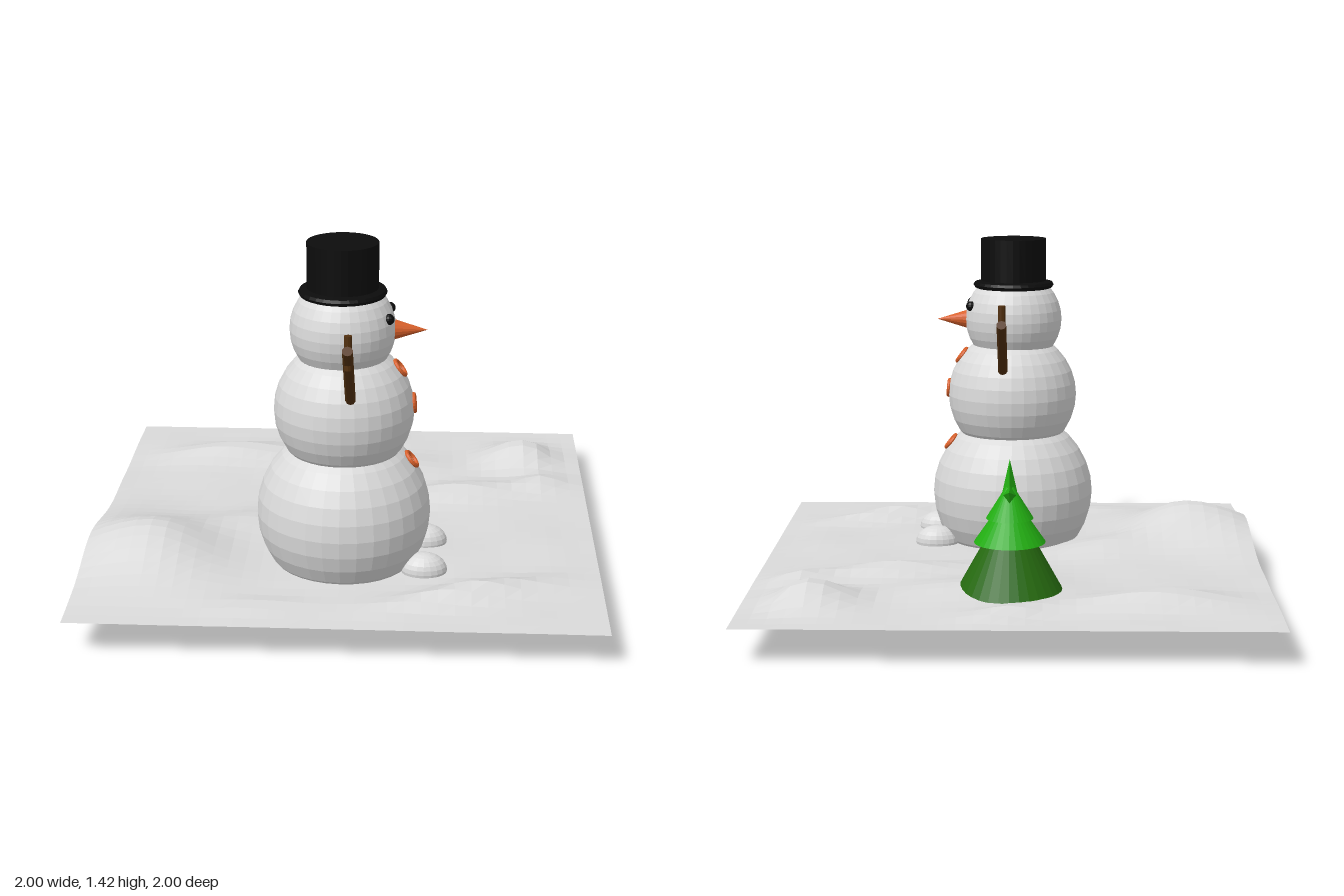
import * as THREE from 'three';

const mat = (name, color, extra = {}) =>
  Object.assign(new THREE.MeshStandardMaterial({ color, flatShading: true, ...extra }), { name });

export function createModel() {
  const model = new THREE.Group();
  model.name = 'snowmanScene';
  const snow = mat('snow', 0xdadada);
  const ground = mat('groundSnow', 0xdadada, { side: THREE.DoubleSide });
  const black = mat('black', 0x0c0c0c);
  const orange = mat('orange', 0xd8602a);
  const wood = mat('wood', 0x52300f);
  const darkGreen = mat('darkGreen', 0x266a10);
  const green = mat('green', 0x22ae12);

  const add = (name, geometry, material, x = 0, y = 0, z = 0, parent = model) => {
    const mesh = new THREE.Mesh(geometry, material);
    mesh.name = name;
    mesh.position.set(x, y, z);
    parent.add(mesh);
    return mesh;
  };

  // Snowy ground: low sheet raised by elongated drifts [x, z, rx, rz, height, angle]
  const drifts = [
    [-0.75, 0.42, 0.26, 0.27, 0.135, 0],
    [-0.98, 0.3, 0.15, 0.25, 0.03, 0],
    [-0.4, 0.12, 0.22, 0.13, 0.04, 0.4],
    [-0.55, -0.66, 0.26, 0.1, 0.06, 0.15],
    [0.0, -0.82, 0.2, 0.07, 0.035, 0.5],
    [0.1, -0.5, 0.3, 0.16, 0.04, 0.2],
    [0.45, -0.25, 0.3, 0.09, 0.05, 0.25],
    [0.74, -0.66, 0.16, 0.14, 0.085, 0],
    [0.85, -0.38, 0.14, 0.08, 0.04, 0.4],
    [0.5, 0.7, 0.3, 0.07, 0.05, 0.35],
    [-0.3, 0.85, 0.2, 0.07, 0.02, 0.2],
  ];
  const height = (x, z) => {
    let h = 0;
    for (const [cx, cz, rx, rz, a, t] of drifts) {
      const dx = x - cx, dz = z - cz;
      const u = (dx * Math.cos(t) - dz * Math.sin(t)) / rx;
      const v = (dx * Math.sin(t) + dz * Math.cos(t)) / rz;
      h += a * Math.exp(-(u * u + v * v));
    }
    const ripple = 0.004 * (1 + Math.sin(9 * x + 4 * z) * Math.cos(11 * z - 3 * x));
    const edge = (d) => Math.min(1, 0.12 + (1 - d) / 0.22);
    const fade = edge(Math.abs(z)) * (x > 0 ? edge(x) : 1);
    return 0.142 + (h + ripple) * fade;
  };
  const sheet = new THREE.PlaneGeometry(2, 2, 32, 32).rotateX(-Math.PI / 2);
  const p = sheet.attributes.position;
  for (let i = 0; i < p.count; i++) p.setY(i, height(p.getX(i), p.getZ(i)));
  sheet.computeVertexNormals();
  add('ground', sheet, ground);

  // Snowman, facing +x
  const man = new THREE.Group();
  man.name = 'snowman';
  man.position.z = 0.37;
  model.add(man);
  const ball = (name, r, x, y, z, m = snow, w = 32, h = 16) =>
    add(name, new THREE.SphereGeometry(r, w, h), m, x, y, z, man);
  ball('lowerBody', 0.338, 0.003, 0.345, 0);
  ball('upperBody', 0.27, 0.005, 0.765, 0);
  ball('head', 0.202, 0, 1.085, 0);
  for (const s of [-1, 1]) {
    ball(s > 0 ? 'rightFoot' : 'leftFoot', 1, 0.32, 0.155, s * 0.135, snow, 20, 12).scale.set(0.09, 0.066, 0.066);
    ball(s > 0 ? 'rightEye' : 'leftEye', 0.021, 0.176, 1.145, s * 0.076, black, 12, 8);
  }
  add('nose', new THREE.ConeGeometry(0.043, 0.14, 16).rotateZ(-Math.PI / 2), orange, 0.25, 1.083, 0, man);

  // Ring buttons lying on the body surface [centre height, radius, button height]
  for (const [cy, r, y] of [[0.765, 0.27, 0.93], [0.765, 0.27, 0.79], [0.345, 0.338, 0.558]]) {
    const a = Math.asin((y - cy) / r);
    const ring = new THREE.TorusGeometry(0.032, 0.009, 8, 20).rotateY(Math.PI / 2).rotateZ(a);
    add('button', ring, orange, 0.004 + r * Math.cos(a), y, 0, man);
  }

  // Top hat
  const hat = [[0, 1.212], [0.145, 1.212], [0.162, 1.219], [0.168, 1.23], [0.162, 1.241],
    [0.136, 1.247], [0.136, 1.422], [0, 1.422]].map(([x, y]) => new THREE.Vector2(x, y));
  add('hat', new THREE.LatheGeometry(hat, 32), black, 0, 0, 0, man);

  // Stick arms, each with a small upright twig
  const stick = (name, a, b, r) => {
    const from = new THREE.Vector3(...a), to = new THREE.Vector3(...b);
    const dir = to.clone().sub(from);
    const mesh = add(name, new THREE.CylinderGeometry(r, r, dir.length(), 10), wood);
    mesh.position.copy(from).add(to).multiplyScalar(0.5);
    mesh.quaternion.setFromUnitVectors(new THREE.Vector3(0, 1, 0), dir.normalize());
  };
  stick('rightArm', [0.04, 0.83, 0.56], [0.04, 1.145, 0.826], 0.02);
  stick('rightTwig', [0.04, 1.06, 0.782], [0.04, 1.188, 0.782], 0.015);
  stick('leftArm', [0.04, 0.85, 0.2], [0.04, 1.12, -0.128], 0.02);
  stick('leftTwig', [0.04, 1.05, -0.058], [0.04, 1.188, -0.058], 0.015);

  // Tree of three stacked cones
  const tree = new THREE.Group();
  tree.name = 'tree';
  tree.position.z = -0.51;
  model.add(tree);
  const tiers = [[0.203, 0.155, 0.52, darkGreen], [0.136, 0.343, 0.54, green], [0.09, 0.435, 0.58, green]];
  for (const [r, y0, y1, m] of tiers)
    add('treeTier', new THREE.ConeGeometry(r, y1 - y0, 32), m, 0, (y0 + y1) / 2, 0, tree);

  // Five-pointed faceted star facing +x
  const verts = [];
  const rim = (i) => {
    const a = (i * Math.PI) / 5, r = i % 2 ? 0.058 : 0.143;
    return [0, Math.cos(a) * r, Math.sin(a) * r];
  };
  for (let i = 0; i < 10; i++) {
    verts.push(0.032, 0, 0, ...rim(i), ...rim(i + 1));
    verts.push(-0.032, 0, 0, ...rim(i + 1), ...rim(i));
  }
  const star = new THREE.BufferGeometry();
  star.setAttribute('position', new THREE.Float32BufferAttribute(verts, 3));
  star.computeVertexNormals();
  add('star', star, green, 0, 0.517, 0.01, tree);

  return model;
}
